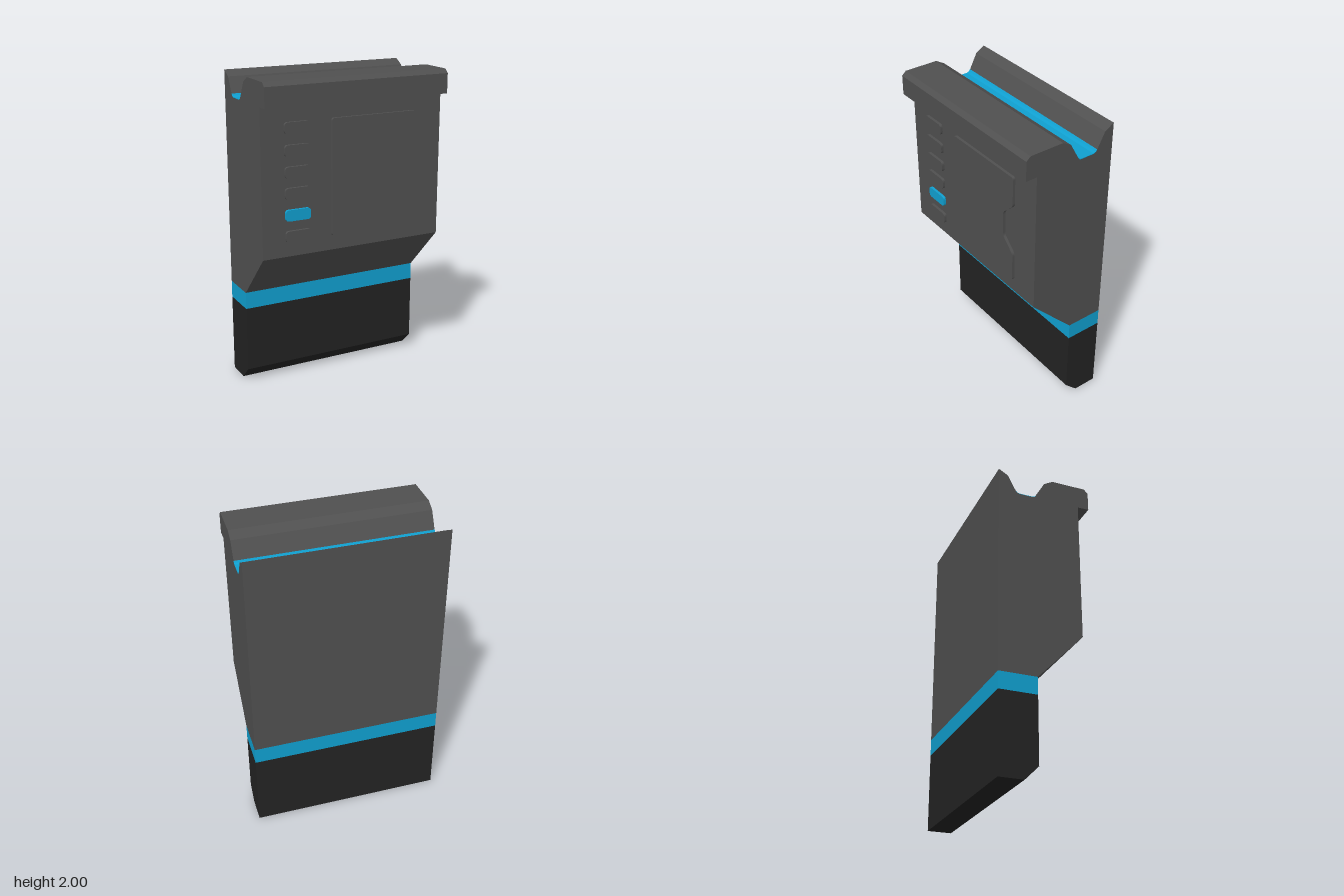
import * as THREE from 'three';

const WIDTH = 1.226;

const material = (name, color) => {
  const m = new THREE.MeshStandardMaterial({ color });
  m.name = name;
  return m;
};

// Extrudes a side profile of [z, y] points across the full width.
function acrossWidth(points) {
  const shape = new THREE.Shape(points.map(([z, y]) => new THREE.Vector2(z, y)));
  const geo = new THREE.ExtrudeGeometry(shape, { depth: WIDTH, bevelEnabled: false });
  geo.translate(0, 0, -WIDTH / 2);
  geo.rotateY(-Math.PI / 2);
  return geo;
}

// Outline of [x, y] points whose corners are rounded by radius r.
function roundedShape(points, r) {
  const shape = new THREE.Shape();
  const p = points.map(([x, y]) => new THREE.Vector2(x, y));
  p.forEach((c, i) => {
    const toward = (q) => q.clone().sub(c).setLength(r).add(c);
    const a = toward(p[(i + p.length - 1) % p.length]);
    const b = toward(p[(i + 1) % p.length]);
    if (i === 0) shape.moveTo(a.x, a.y);
    else shape.lineTo(a.x, a.y);
    shape.quadraticCurveTo(c.x, c.y, b.x, b.y);
  });
  shape.closePath();
  return shape;
}

export function createModel() {
  const group = new THREE.Group();
  const grey = material('bodyGrey', 0x505050);
  const dark = material('baseBlack', 0x232323);
  const blue = material('accentBlue', 0x10a0d0);

  const add = (name, geometry, mat) => {
    const mesh = new THREE.Mesh(geometry, mat);
    mesh.name = name;
    group.add(mesh);
  };

  // Lower insert with chamfered front foot
  add('base', acrossWidth([
    [-0.307, 0], [-0.15, 0], [-0.063, 0.087], [-0.063, 0.51], [-0.307, 0.51],
  ]), dark);

  // Coloured band
  add('band', acrossWidth([
    [-0.307, 0.51], [-0.063, 0.51], [-0.063, 0.62], [-0.307, 0.62],
  ]), blue);

  // Main body with overhanging lip and top groove
  const floor = [[-0.058, 1.862], [-0.065, 1.852], [-0.078, 1.847],
    [-0.17, 1.847], [-0.186, 1.853], [-0.195, 1.865]];
  add('body', acrossWidth([
    [-0.307, 0.62], [-0.063, 0.62], [0.233, 0.928], [0.233, 1.85], [0.307, 1.85],
    [0.307, 1.975], [0.28, 2], [0.058, 2], [0, 1.967],
    ...floor,
    [-0.247, 1.965], [-0.307, 2],
  ]), grey);

  // Thin coloured lining on the groove floor
  const lining = floor.map(([z, y]) => [z, y + 0.003]);
  add('grooveLining', acrossWidth([...floor, ...lining.reverse()]), blue);

  // Raised front details
  const raised = (points, r) => {
    const geo = new THREE.ExtrudeGeometry(roundedShape(points, r),
      { depth: 0.02, bevelEnabled: false, curveSegments: 4 });
    return geo.translate(0, 0, 0.23);
  };

  // Column of buttons
  [1.717, 1.582, 1.451, 1.322, 1.188, 1.056].forEach((y, i) => {
    const h = 0.035;
    add(`button${i + 1}`, raised([
      [-0.465, y - h], [-0.3, y - h], [-0.3, y + h], [-0.465, y + h],
    ], 0.022), i === 4 ? blue : grey);
  });

  // Notched front panel
  add('frontPanel', raised([
    [-0.155, 1.02], [0.424, 1.02], [0.424, 1.215], [0.334, 1.303],
    [0.334, 1.472], [0.424, 1.558], [0.424, 1.752], [-0.155, 1.752],
  ], 0.016), grey);

  return group;
}
